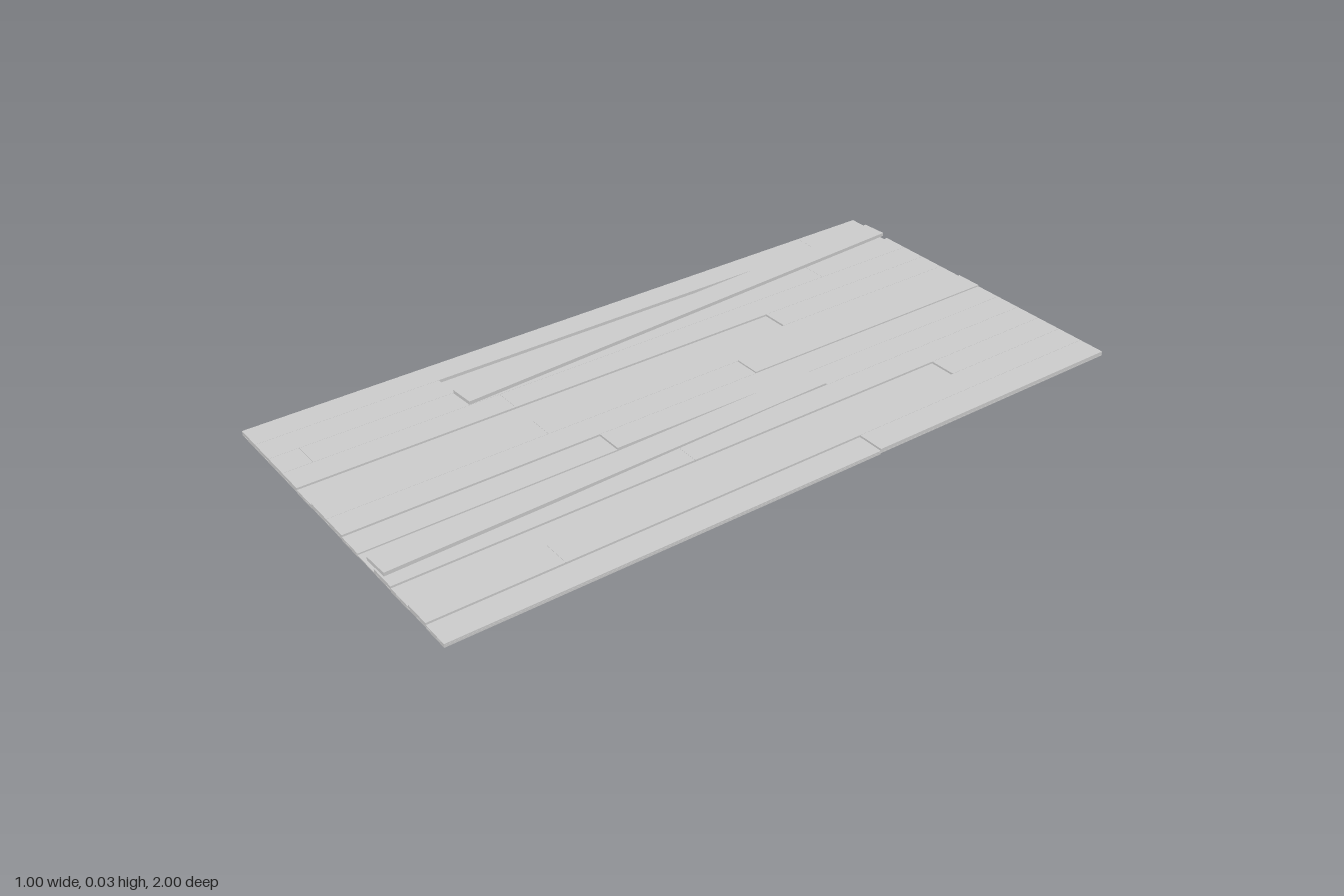
import * as THREE from 'three';

const material = new THREE.MeshStandardMaterial({ color: 0xcccccc, flatShading: true });
const COLS = 13, PITCH = 1 / COLS, THICK = 0.01;
const LEVEL = 0.005, LOW = 0, HIGH = 0.0085;

// Each column lists its boards from back to front: [zStart, zEnd, underside height]
const COLUMNS = [
  [[-1, -0.78, LEVEL], [-0.78, 1, LEVEL]],
  [[0.49, 1, LEVEL]], // rear board has come loose
  [[-1, -0.68, LEVEL], [-0.68, 0.92, LEVEL], [0.92, 1, LEVEL]],
  [[-1, 0.4, LEVEL], [0.4, 1, LEVEL]],
  [[-1, -0.41, LEVEL], [-0.41, 1, LOW]],
  [[-1, 0.4, LEVEL], [0.4, 1, LEVEL]],
  [[-1, -0.19, HIGH], [-0.19, 1, LEVEL]],
  [[-1, 0.3, LEVEL], [0.3, 1, LOW]],
  [[-1, -0.3, LEVEL]], // front board has come loose
  [[-1, 0.18, LEVEL], [0.18, 1, LEVEL]],
  [[-1, -0.6, LEVEL], [-0.6, 1, LOW]],
  [[-1, 0.65, LEVEL], [0.65, 1, LEVEL]],
  [[-1, -0.21, LEVEL], [-0.21, 1, LOW]],
];

function box(name, w, h, d) {
  const mesh = new THREE.Mesh(new THREE.BoxGeometry(w, h, d), material);
  mesh.name = name;
  return mesh;
}

// A board whose centre line runs between two points
function looseBoard(name, back, front) {
  const mesh = box(name, PITCH - 0.003, THICK, back.distanceTo(front));
  mesh.position.copy(back).add(front).multiplyScalar(0.5);
  mesh.lookAt(front);
  return mesh;
}

export function createModel() {
  const model = new THREE.Group();
  model.name = 'plankFloor';

  // Thin backing under the boards
  const backing = box('backing', 1, 0.003, 2);
  backing.position.y = 0.0045;
  model.add(backing);

  // Fixed floorboards
  const boards = new THREE.Group();
  boards.name = 'floorboards';
  COLUMNS.forEach((column, i) => {
    for (const [z0, z1, y] of column) {
      const board = box('floorboard', PITCH - 0.0006, THICK, z1 - z0 - 0.0006);
      board.position.set(-0.5 + (i + 0.5) * PITCH, y + THICK / 2, (z0 + z1) / 2);
      boards.add(board);
    }
  });
  model.add(boards);

  // Loose boards: one lying askew, one pried up at the front
  model.add(
    looseBoard('skewedBoard', new THREE.Vector3(-0.4, 0.0203, -0.997), new THREE.Vector3(-0.307, 0.0203, 0.49)),
    looseBoard('liftedBoard', new THREE.Vector3(0.15, 0.0115, -0.303), new THREE.Vector3(0.198, 0.0245, 0.998)),
  );
  return model;
}
